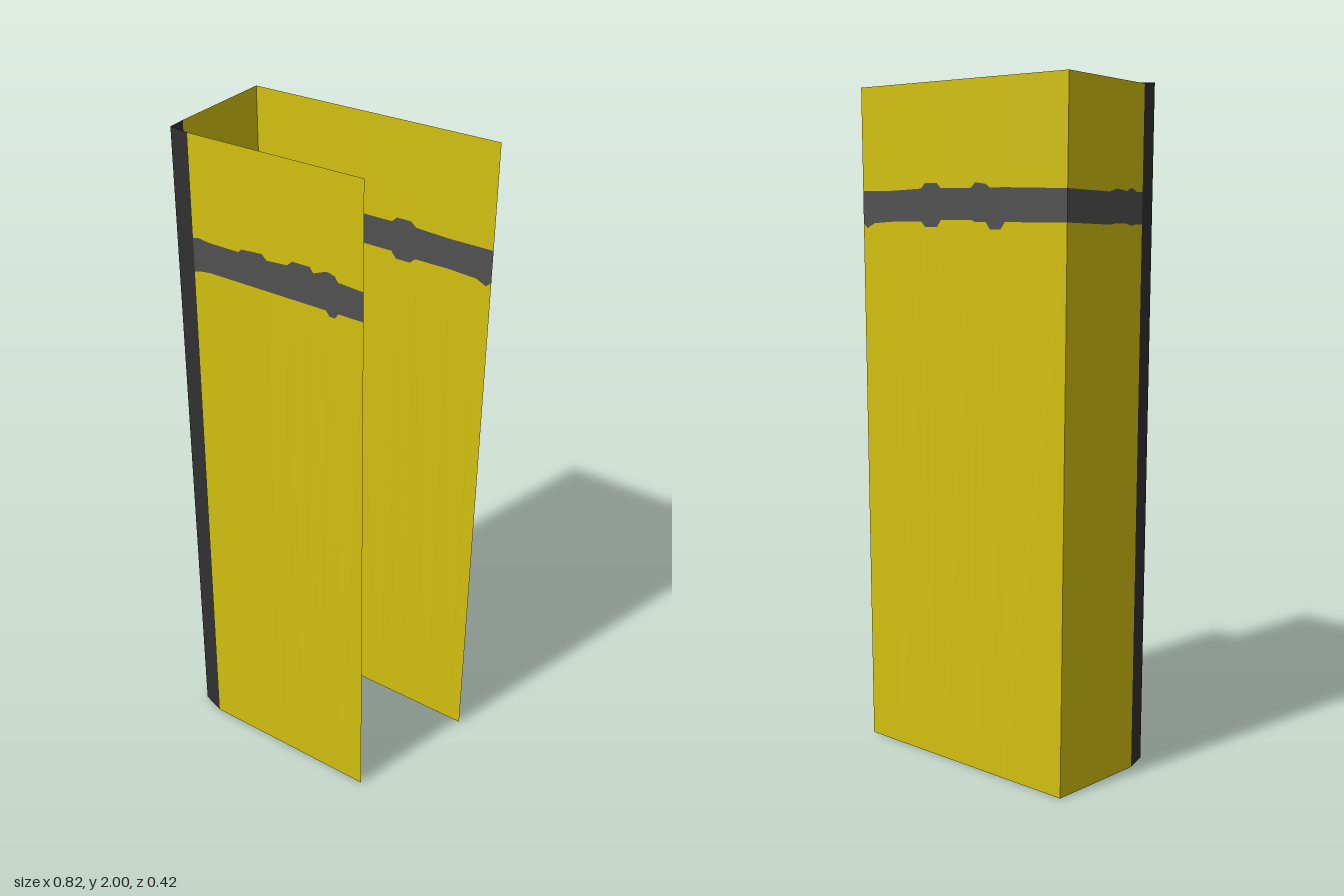
import * as THREE from 'three';

const paint = (name, color) => {
  const m = new THREE.MeshStandardMaterial({ color, side: THREE.DoubleSide });
  m.name = name;
  return m;
};

export function createModel() {
  const yellow = paint('yellow', 0xd2c010);
  const black = paint('black', 0x303030);
  const grey = paint('grey', 0x515151);
  const model = new THREE.Group();
  model.name = 'openPanelShell';

  // Corner lines of the folded sheet: each leans from a bottom point to a top point
  const line = (x0, x1, z, top = 2) => [new THREE.Vector3(x0, 0, z), new THREE.Vector3(x1, top, z)];
  const backOpen = line(0.39, 0.408, -0.212);
  const backFold = line(-0.39, -0.408, -0.212);
  const sideFold = line(-0.39, -0.408, 0.11, 1.985);
  const chamferMid = line(-0.365, -0.384, 0.187, 1.993);
  const frontFold = line(-0.29, -0.303, 0.212);
  const frontOpen = line(0.29, 0.27, 0.212);

  // Strip between two corner lines; rows are [u, lower v, upper v]
  function strip(name, a, b, rows, material) {
    const pos = [], index = [];
    const at = (u, v) => a[0].clone().lerp(a[1], v).lerp(b[0].clone().lerp(b[1], v), u);
    rows.forEach(([u, lo, hi], i) => {
      pos.push(...at(u, lo).toArray(), ...at(u, hi).toArray());
      if (i) {
        const k = 2 * i;
        index.push(k - 2, k, k + 1, k - 2, k + 1, k - 1);
      }
    });
    const g = new THREE.BufferGeometry();
    g.setAttribute('position', new THREE.Float32BufferAttribute(pos, 3));
    g.setIndex(index);
    g.computeVertexNormals();
    const mesh = new THREE.Mesh(g, material);
    mesh.name = name;
    return mesh;
  }

  // Yellow panel crossed by a ragged grey band; edge points are [u, low y, high y]
  function bandedPanel(name, a, b, edge) {
    const band = edge.map(([u, lo, hi]) => [u, lo / 2, hi / 2]);
    const panel = new THREE.Group();
    panel.name = name;
    panel.add(
      strip(name + 'Lower', a, b, band.map(([u, lo]) => [u, 0, lo]), yellow),
      strip(name + 'Band', a, b, band, grey),
      strip(name + 'Upper', a, b, band.map(([u, , hi]) => [u, hi, 1]), yellow),
    );
    model.add(panel);
  }

  // Front panel, from the chamfer to its open edge
  bandedPanel('frontPanel', frontFold, frontOpen, [
    [0, 1.6, 1.7], [0.03, 1.605, 1.705], [0.1, 1.61, 1.7], [0.28, 1.61, 1.7], [0.3, 1.61, 1.71],
    [0.42, 1.61, 1.715], [0.45, 1.61, 1.7], [0.57, 1.61, 1.705], [0.6, 1.61, 1.72],
    [0.7, 1.61, 1.72], [0.72, 1.61, 1.705], [0.79, 1.61, 1.72], [0.81, 1.595, 1.72],
    [0.84, 1.595, 1.715], [0.86, 1.61, 1.7], [1, 1.61, 1.695],
  ]);

  // Side wall
  bandedPanel('sideWall', backFold, sideFold, [
    [0, 1.605, 1.695], [0.55, 1.605, 1.695], [0.65, 1.61, 1.705], [0.78, 1.61, 1.7],
    [0.85, 1.605, 1.71], [0.92, 1.61, 1.7], [1, 1.61, 1.7],
  ]);

  // Back panel, from its open edge to the fold
  bandedPanel('backPanel', backOpen, backFold, [
    [0, 1.6, 1.695], [0.02, 1.585, 1.695], [0.06, 1.6, 1.695], [0.17, 1.605, 1.695],
    [0.31, 1.605, 1.7], [0.33, 1.59, 1.715], [0.39, 1.59, 1.715], [0.41, 1.61, 1.7],
    [0.56, 1.61, 1.7], [0.58, 1.605, 1.715], [0.63, 1.605, 1.71], [0.65, 1.585, 1.7],
    [0.7, 1.585, 1.7], [0.72, 1.605, 1.7], [1, 1.605, 1.695],
  ]);

  // Black chamfered corner, two facets
  const full = [[0, 0, 1], [1, 0, 1]];
  const corner = new THREE.Group();
  corner.name = 'chamferedCorner';
  corner.add(
    strip('chamferSide', sideFold, chamferMid, full, black),
    strip('chamferFront', chamferMid, frontFold, full, black),
  );
  model.add(corner);
  return model;
}
